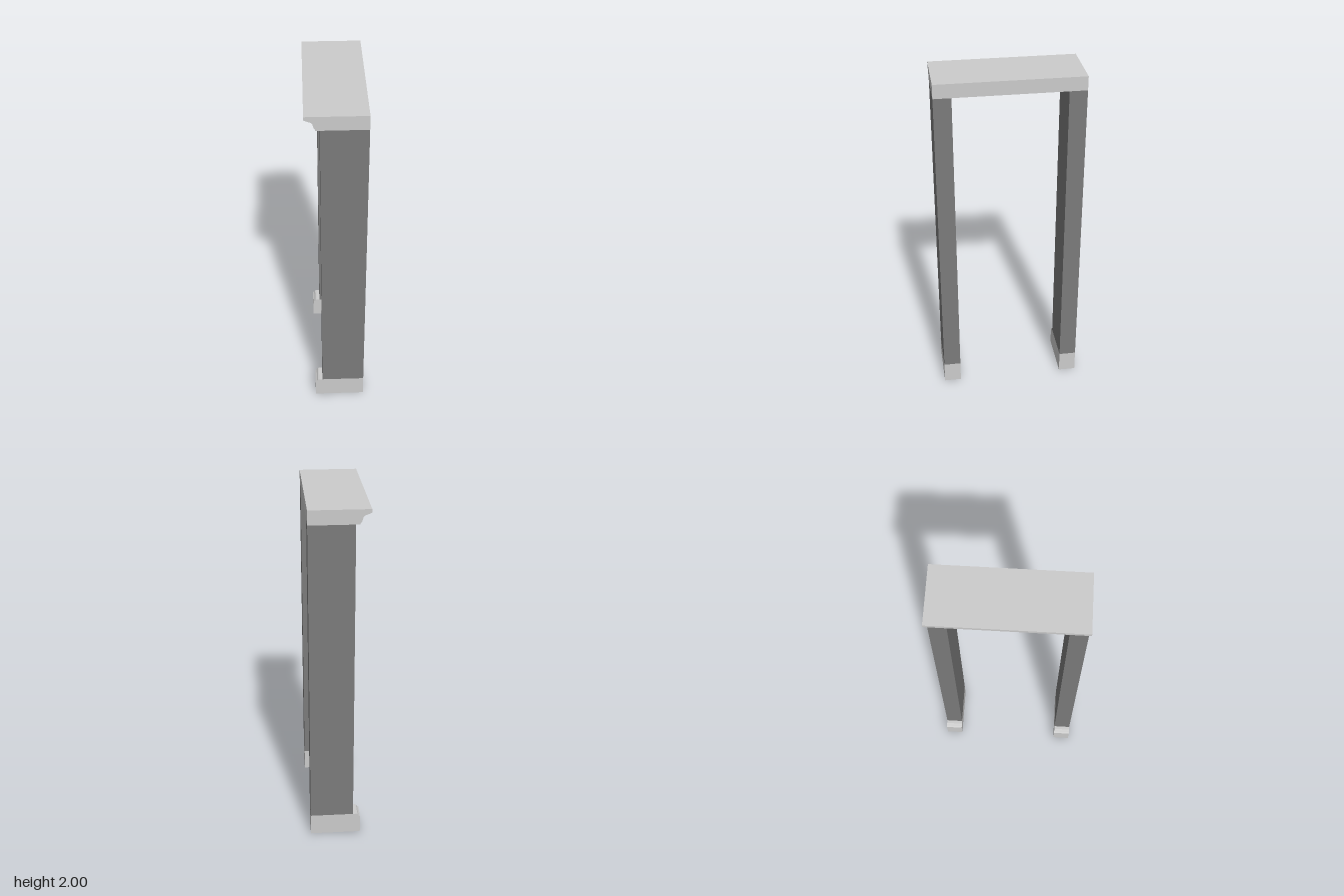
import * as THREE from 'three';

const HALF_DEPTH = 0.416, LEG = 0.1, BACK = 0.167;
const BASE_TOP = 0.127, LINTEL_BOTTOM = 1.92;

const light = new THREE.MeshStandardMaterial({ color: 0xcccccc, flatShading: true });
const dark = new THREE.MeshStandardMaterial({ color: 0x7b7b7b, flatShading: true });

// Extrude an x-y profile along z, centred on the given z
function moulding(name, points, depth, z) {
  const shape = new THREE.Shape(points.map(([x, y]) => new THREE.Vector2(x, y)));
  const geometry = new THREE.ExtrudeGeometry(shape, { depth, bevelEnabled: false });
  geometry.translate(0, 0, z - depth / 2);
  const mesh = new THREE.Mesh(geometry, light);
  mesh.name = name;
  return mesh;
}

export function createModel() {
  const group = new THREE.Group();
  group.name = 'doorFrame';

  // Lintel with a moulded overhang on the -x side
  group.add(moulding('lintel', [
    [BACK, LINTEL_BOTTOM], [BACK, 2], [-BACK, 2], [-BACK, 1.981], [-0.148, 1.973],
    [-0.13, 1.967], [-0.122, 1.957], [-0.117, 1.938], [-0.108, 1.924], [-0.108, LINTEL_BOTTOM],
  ], HALF_DEPTH * 2, 0));

  for (const side of [1, -1]) {
    const z = side * (HALF_DEPTH - LEG / 2);
    const prefix = side > 0 ? 'front' : 'back';

    // Plinth with an eased top edge
    group.add(moulding(prefix + 'Plinth', [
      [BACK, 0], [BACK, BASE_TOP], [-0.104, BASE_TOP], [-0.112, 0.124],
      [-0.119, 0.114], [-0.127, 0.108], [-0.127, 0],
    ], LEG, z));

    // Upright
    const height = LINTEL_BOTTOM - BASE_TOP, width = BACK + 0.085;
    const post = new THREE.Mesh(new THREE.BoxGeometry(width, height, LEG), dark);
    post.position.set(BACK - width / 2, BASE_TOP + height / 2, z);
    post.name = prefix + 'Post';
    group.add(post);
  }
  return group;
}
